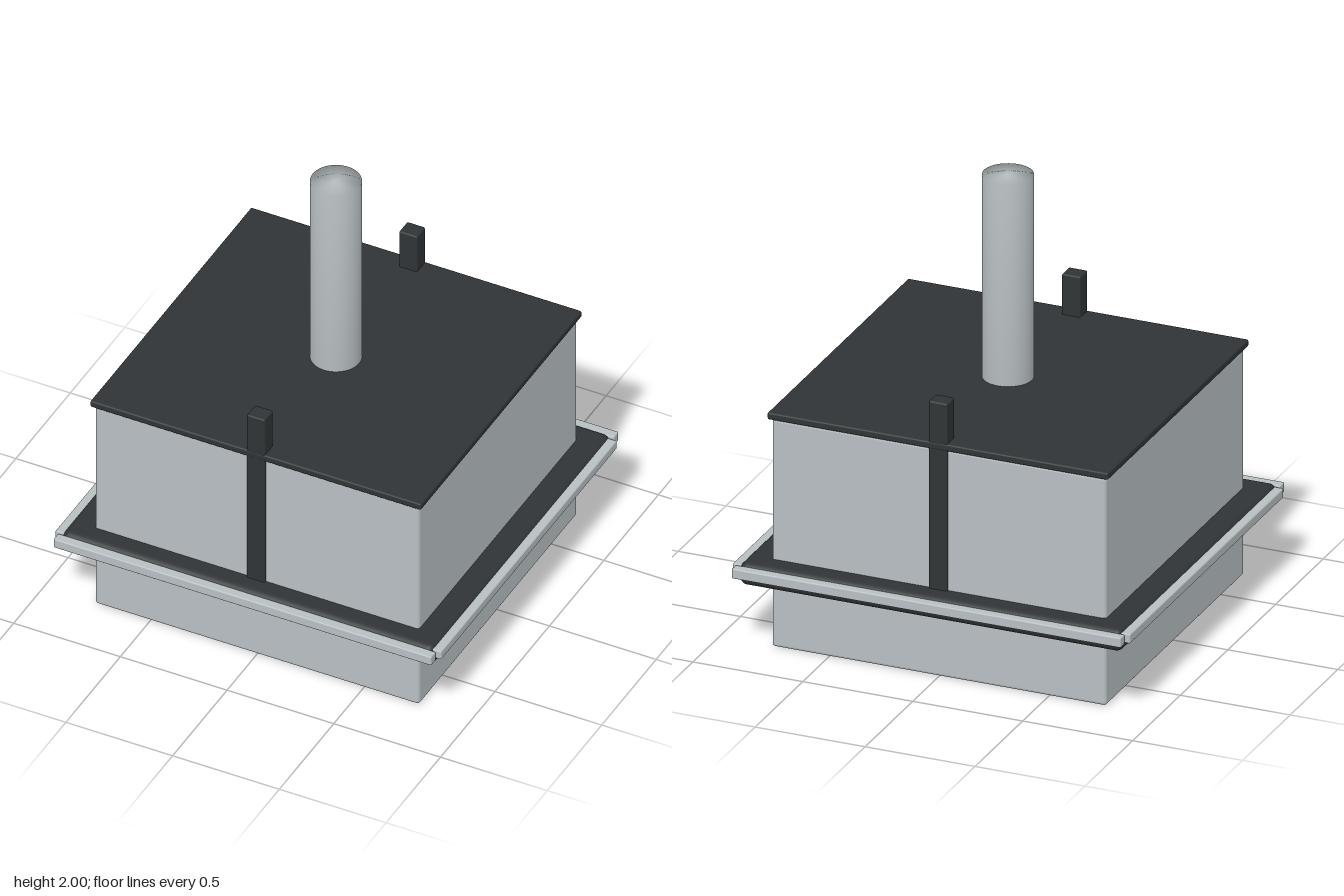
import * as THREE from 'three';
import { mergeVertices } from 'three/addons/utils/BufferGeometryUtils.js';
import { RoundedBoxGeometry } from 'three/addons/geometries/RoundedBoxGeometry.js';

export function createModel() {
  const model = new THREE.Group();
  const grey = new THREE.MeshStandardMaterial({ color: 0xcccccc });
  const steel = new THREE.MeshStandardMaterial({ color: 0xb8bfc2 });
  const dark = new THREE.MeshStandardMaterial({ color: 0x303436 });

  // Rounded box given by its full width, depth and bottom/top heights
  function block(name, material, w, d, y0, y1, radius, x = 0, z = 0) {
    const mesh = new THREE.Mesh(new RoundedBoxGeometry(w, y1 - y0, d, 3, radius), material);
    mesh.name = name;
    mesh.position.set(x, (y0 + y1) / 2, z);
    model.add(mesh);
    return mesh;
  }

  // Main box with its lid and the dark collar around it
  block('body', steel, 1.52, 1.454, 0, 1.045, 0.015);
  block('lid', dark, 1.55, 1.48, 1.043, 1.075, 0.008);
  block('collar', dark, 1.745, 1.65, 0.3, 0.402, 0.035);

  for (const s of [-1, 1]) {
    // Trim bars around the collar
    block('longTrim', steel, 1.77, 0.045, 0.345, 0.39, 0.006, 0, s * 0.839);
    block('sideTrim', steel, 0.045, 1.612, 0.345, 0.388, 0.006, s * 0.882, 0);
    // Upright straps that pass through the lid
    block('strap', dark, 0.085, 0.078, 0.35, 1.26, 0.008, 0, s * 0.699);
  }

  // Handle, shaded smoothly over its top edge
  let tube = new THREE.CylinderGeometry(0.109, 0.109, 0.95, 48);
  tube.deleteAttribute('uv');
  tube.deleteAttribute('normal');
  tube = mergeVertices(tube);
  tube.computeVertexNormals();
  const handle = new THREE.Mesh(tube, grey);
  handle.material = steel;
  handle.name = 'handle';
  handle.position.y = 1.525;
  model.add(handle);

  return model;
}
